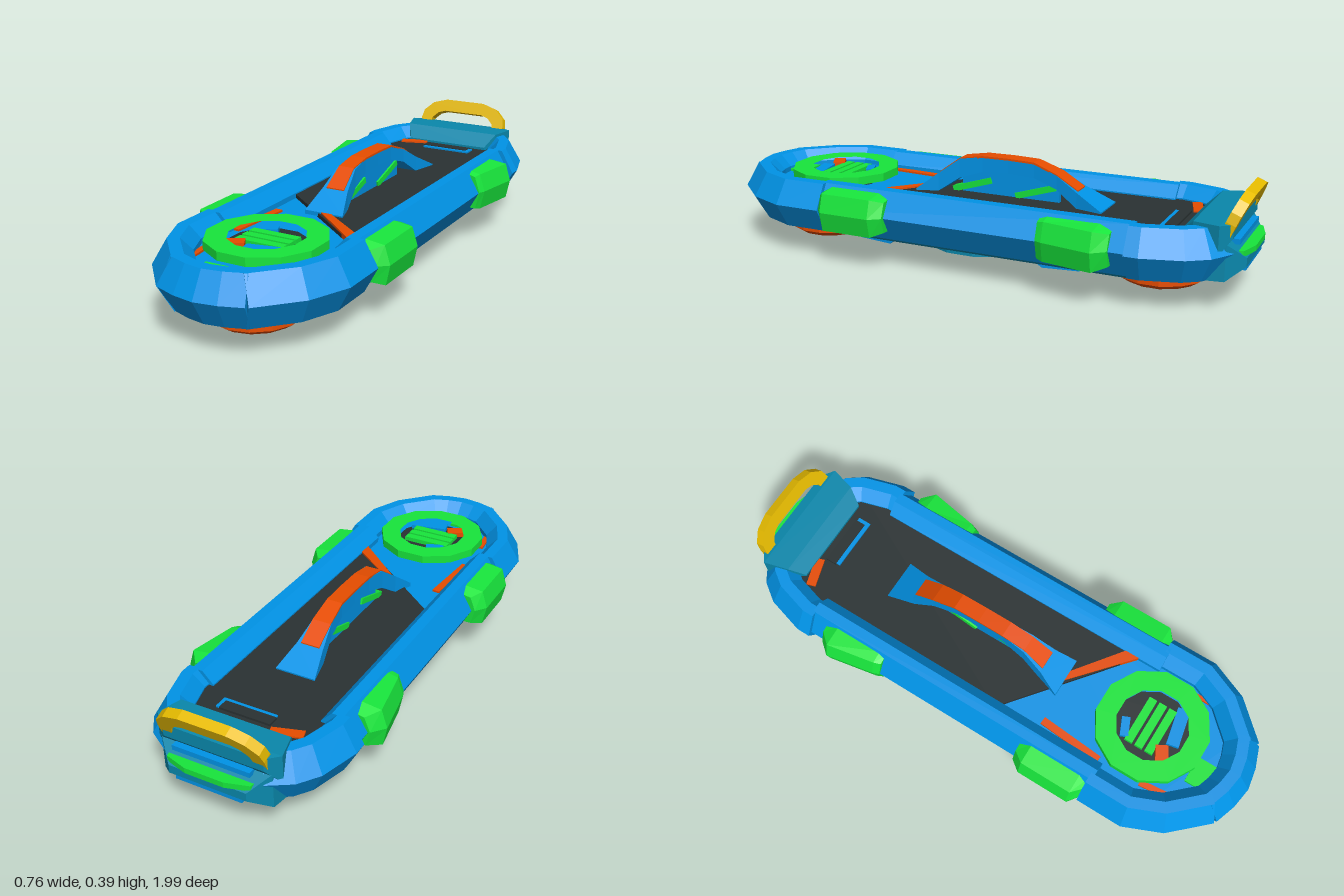
import * as THREE from 'three';

const mat = (name, color) => {
  const m = new THREE.MeshStandardMaterial({ color, flatShading: true });
  m.name = name;
  return m;
};

export function createModel() {
  const blue = mat('blue', 0x0098ee), teal = mat('teal', 0x0a88ac), green = mat('green', 0x18e63c);
  const orange = mat('orange', 0xee5000), yellow = mat('yellow', 0xecc000), dark = mat('charcoal', 0x2a3233);
  const group = new THREE.Group();

  const add = (name, geo, material, x = 0, y = 0, z = 0) => {
    const m = new THREE.Mesh(geo, material);
    m.name = name;
    m.position.set(x, y, z);
    group.add(m);
    return m;
  };
  const box = (name, material, w, h, d, x, y, z, ry = 0, rx = 0, rz = 0) => {
    add(name, new THREE.BoxGeometry(w, h, d), material, x, y, z).rotation.set(rx, ry, rz);
  };

  // Closed flat-faced solid through equal-length convex loops
  const loft = (loops) => {
    const out = [], n = loops[0].length;
    const tri = (...p) => p.forEach((v) => out.push(...v));
    for (let i = 0; i + 1 < loops.length; i++) {
      for (let j = 0; j < n; j++) {
        const k = (j + 1) % n, [p, q] = [loops[i], loops[i + 1]];
        tri(p[j], q[j], q[k]);
        tri(p[j], q[k], p[k]);
      }
    }
    const end = loops[loops.length - 1];
    for (let j = 1; j + 1 < n; j++) {
      tri(loops[0][0], loops[0][j], loops[0][j + 1]);
      tri(end[0], end[j + 1], end[j]);
    }
    const g = new THREE.BufferGeometry();
    g.setAttribute('position', new THREE.Float32BufferAttribute(out, 3));
    g.computeVertexNormals();
    return g;
  };

  // Sweep a [inset, y] profile along a plan path of [x, z], mitred at corners
  const sweep = (path, profile) => loft(path.map(([x, z], i) => {
    const normal = (a, b) => {
      const dx = b[0] - a[0], dz = b[1] - a[1], l = Math.hypot(dx, dz);
      return [-dz / l, dx / l];
    };
    const n1 = normal(path[Math.max(i - 1, 0)], path[Math.max(i, 1)]);
    const last = path.length - 1;
    const n2 = normal(path[Math.min(i, last - 1)], path[Math.min(i + 1, last)]);
    const s = 1 / (1 + n1[0] * n2[0] + n1[1] * n2[1]);
    const nx = (n1[0] + n2[0]) * s, nz = (n1[1] + n2[1]) * s;
    return profile.map(([o, y]) => [x - nx * o, y, z - nz * o]);
  }));
  const mirrorPath = (path) => path.map(([x, z]) => [-x, z]).reverse();

  // Flat slab from a plan outline of [x, z]
  const slab = (pts, y0, y1, hole) => {
    const v = (p) => p.map(([x, z]) => new THREE.Vector2(x, -z));
    const s = new THREE.Shape(v(pts));
    if (hole) s.holes.push(new THREE.Path(v(hole)));
    return new THREE.ExtrudeGeometry(s, { depth: y1 - y0, bevelEnabled: false }).rotateX(-Math.PI / 2).translate(0, y0, 0);
  };
  const ngon = (n, r) => Array.from({ length: n }, (_, i) => {
    const a = (i + 0.5) / n * Math.PI * 2;
    return [r * Math.cos(a), r * Math.sin(a)];
  });

  // Outer frame, in separate armour sections
  const frame = [[0, 0.2], [0.05, 0.287], [0.09, 0.287], [0.13, 0.245], [0.13, 0.13], [0.05, 0.11]];
  const frontCorner = [[0.168, 0.95], [0.29, 0.82], [0.35, 0.68], [0.35, 0.505]];
  const sideRail = [[0.332, 0.52], [0.332, -0.65]];
  const rearCorner = [[0.35, -0.64], [0.35, -0.69], [0.31, -0.83], [0.26, -0.9], [0.18, -0.95]];
  add('frontBumper', sweep([[-0.158, 0.955], [-0.08, 0.982], [0, 0.995], [0.08, 0.982], [0.158, 0.955]], frame), blue);
  for (const [name, path] of [['frontCorner', frontCorner], ['sideRail', sideRail], ['rearCorner', rearCorner]]) {
    add(name + 'Left', sweep(path, frame), blue);
    add(name + 'Right', sweep(mirrorPath(path), frame), blue);
  }

  // Inner lip below the frame
  const lip = [[0.08, 0.12], [0.09, 0.15], [0.14, 0.15], [0.14, 0.092], [0.1, 0.092]];
  const half = [...frontCorner, ...rearCorner];
  add('lowerLip', sweep([...mirrorPath(half), ...half], lip), teal);

  // Deck and nose floor
  add('noseFloor', slab([[-0.225, 0.05], [0.225, 0.05], [0.225, 0.72], [0.13, 0.88], [-0.13, 0.88], [-0.225, 0.72]], 0.14, 0.226), blue);
  add('deck', slab([[-0.225, -0.79], [0.225, -0.79], [0.225, 0.44], [0.19, 0.42], [-0.225, 0.09]], 0.14, 0.24), dark);
  add('deckStripe', slab([[-0.01, 0.25], [0.03, 0.25], [0.21, 0.385], [0.21, 0.44]], 0.226, 0.246), orange);
  box('noseStripe', orange, 0.028, 0.008, 0.24, -0.185, 0.229, 0.38, -0.08);
  box('noseStripe', orange, 0.022, 0.008, 0.16, -0.18, 0.229, 0.74, 0.1);
  box('noseStripe', orange, 0.015, 0.008, 0.15, 0.195, 0.229, 0.68);
  box('tailLatch', blue, 0.2, 0.008, 0.05, 0.03, 0.242, -0.715);
  box('tailLatchSlot', dark, 0.19, 0.008, 0.04, 0.02, 0.245, -0.725);
  box('tailMark', orange, 0.11, 0.008, 0.035, -0.14, 0.242, -0.75, 0.3);

  // Round dial in the nose
  add('dialRing', slab(ngon(12, 0.205), 0.25, 0.28, ngon(12, 0.13)), green, 0, 0, 0.6);
  add('dialFace', slab(ngon(12, 0.135), 0.22, 0.253), dark, 0, 0, 0.6);
  for (const z of [0.555, 0.595, 0.635]) box('dialBar', green, 0.18, 0.018, 0.03, 0, 0.26, z);
  box('dialPlate', blue, 0.14, 0.018, 0.045, 0.045, 0.26, 0.68, 0.2);
  box('dialPlateRear', blue, 0.07, 0.018, 0.03, -0.05, 0.26, 0.52, 0.4);
  box('dialTab', orange, 0.075, 0.02, 0.045, -0.075, 0.262, 0.68, 0.5);
  box('noseTab', green, 0.1, 0.012, 0.08, -0.05, 0.23, 0.83);

  // Arched grip on the deck: [z, bottom, top, half width]
  const arch = [[0.25, 0.23, 0.245, 0.075], [0.17, 0.24, 0.307, 0.05], [0.09, 0.295, 0.365, 0.036], [0, 0.325, 0.38, 0.028],
    [-0.1, 0.33, 0.381, 0.026], [-0.2, 0.325, 0.378, 0.028], [-0.29, 0.295, 0.345, 0.036], [-0.37, 0.24, 0.297, 0.05], [-0.47, 0.23, 0.245, 0.075]];
  const archLoop = ([z, b, t, w]) => [[w, b, z], [w, t, z], [-w, t, z], [-w, b, z]];
  add('gripArch', loft(arch.map(archLoop)), blue);
  add('gripPad', loft(arch.slice(1, 8).map(([z, , t]) => archLoop([z, t - 0.003, t + 0.004, z > 0.1 || z < -0.25 ? 0.035 : 0.03]))), orange);
  // Green stays under the grip, over a narrow web
  add('gripWeb', loft(arch.slice(2, 7).map(([z, b]) => archLoop([z, 0.235, b + 0.01, 0.008]))), blue);
  for (const [z, y] of [[0.05, 0.268], [-0.2, 0.27]]) box('gripStay', green, 0.03, 0.022, 0.16, 0, y, z, 0, 0.3);

  // Side pads: [z, inner x, outer x, vertical scale]
  const padLoop = ([z, a, b, k]) => [[a, -0.07], [b - 0.015, -0.07], [b, 0], [b - 0.02, 0.065], [a, 0.075]]
    .map(([x, y]) => [x, 0.203 + y * k, z]);
  const pads = {
    frontPad: [[0.505, 0.28, 0.34, 0.8], [0.475, 0.28, 0.376, 1], [0.28, 0.28, 0.376, 1], [0.24, 0.28, 0.345, 0.8]],
    rearPad: [[-0.335, 0.28, 0.335, 0.92], [-0.36, 0.28, 0.345, 1], [-0.54, 0.28, 0.378, 1], [-0.585, 0.28, 0.34, 0.8]],
  };
  for (const [name, st] of Object.entries(pads)) {
    const loops = st.map(padLoop);
    add(name + 'Left', loft(loops), green);
    add(name + 'Right', loft(loops.map((l) => l.map(([x, y, z]) => [-x, y, z]).reverse())), green);
  }

  // Tail block with slats
  const tail = (z, w, b, t) => [[w, b, z], [w, t, z], [-w, t, z], [-w, b, z]];
  add('tailTop', loft([tail(-0.77, 0.17, 0.2, 0.25), tail(-0.82, 0.2, 0.2, 0.298), tail(-0.91, 0.225, 0.2, 0.3), tail(-0.945, 0.18, 0.25, 0.295)]), teal);
  add('tailBase', loft([tail(-0.8, 0.22, 0.11, 0.24), tail(-0.93, 0.2, 0.11, 0.235), tail(-0.985, 0.14, 0.15, 0.18)]), teal);
  add('tailStrip', slab([[-0.17, -0.9], [-0.15, -0.975], [-0.07, -0.998], [0.07, -0.998], [0.15, -0.975], [0.17, -0.9]], 0.185, 0.205), green);
  box('tailSlat', blue, 0.28, 0.018, 0.06, 0, 0.23, -0.93);
  box('tailSlat', blue, 0.24, 0.018, 0.06, 0, 0.14, -0.95);

  // Tilted carry handle, one closed arch
  const outer = [[0.19, 0], [0.19, 0.06], [0.183, 0.095], [0.145, 0.132], [0.085, 0.15]];
  const inner = [[0.152, 0], [0.14, 0.065], [0.115, 0.09], [0.085, 0.1]];
  const flip = (pts) => pts.map(([x, y]) => [-x, y]);
  const outline = [...outer, ...flip(outer).reverse(), ...flip(inner), ...inner.slice().reverse()];
  const handleShape = new THREE.Shape(outline.map(([x, y]) => new THREE.Vector2(x, y)));
  const handleGeo = new THREE.ExtrudeGeometry(handleShape, { depth: 0.035, bevelEnabled: false });
  add('carryHandle', handleGeo, yellow, 0, 0.237, -0.93).rotation.x = -0.4;

  // Hover pads and their mounts under both ends
  const dome = [[0, 0.003], [0.07, 0.01], [0.13, 0.023], [0.16, 0.043], [0.16, 0.079], [0.145, 0.086], [0, 0.086]];
  const domeGeo = new THREE.LatheGeometry(dome.map(([x, y]) => new THREE.Vector2(x, y)), 14);
  for (const s of [1, -1]) {
    add('hoverPad', domeGeo, orange, 0, 0, s * 0.67);
    add('hoverPadRim', slab(ngon(14, 0.176), 0.085, 0.1), green, 0, 0, s * 0.67);
    const mount = [[-0.22, 0.42], [0.22, 0.42], [0.22, 0.74], [0.13, 0.87], [-0.13, 0.87], [-0.22, 0.74]];
    add('hoverPadMount', slab(mount.map(([x, z]) => [x, s * z]), 0.098, 0.15), teal);
    // Struts to the central turbine
    for (const t of [1, -1]) {
      const strut = [[0.48, 0.09], [0.43, 0.057], [0.3, 0.057], [0.26, 0.09]]
        .map(([z, b]) => [[0.03, b], [0.03, 0.14], [-0.03, 0.14], [-0.03, b]].map(([x, y]) => [x + t * (0.13 + (0.48 - z) * 0.15), y, z]));
      const m = add('strut', loft(strut), blue);
      if (s < 0) m.rotation.y = Math.PI;
      box('sideBrace', blue, 0.03, 0.04, 0.26, t * 0.2, 0.11, s * 0.27, s * t * 0.25);
    }
    box('crossBrace', blue, 0.26, 0.03, 0.04, 0, 0.11, s * 0.3);
  }

  // Central turbine under the deck
  add('turbineRing', slab(ngon(14, 0.225), 0.07, 0.14, ngon(14, 0.14)), teal);
  add('turbineLip', slab(ngon(14, 0.2), 0.06, 0.08, ngon(14, 0.155)), teal);
  add('turbineCore', slab(ngon(10, 0.145), 0.1, 0.145), dark);
  for (const z of [-0.05, 0, 0.05]) box('turbineVane', green, 0.2, 0.008, 0.015, 0, 0.099, z);
  return group;
}
